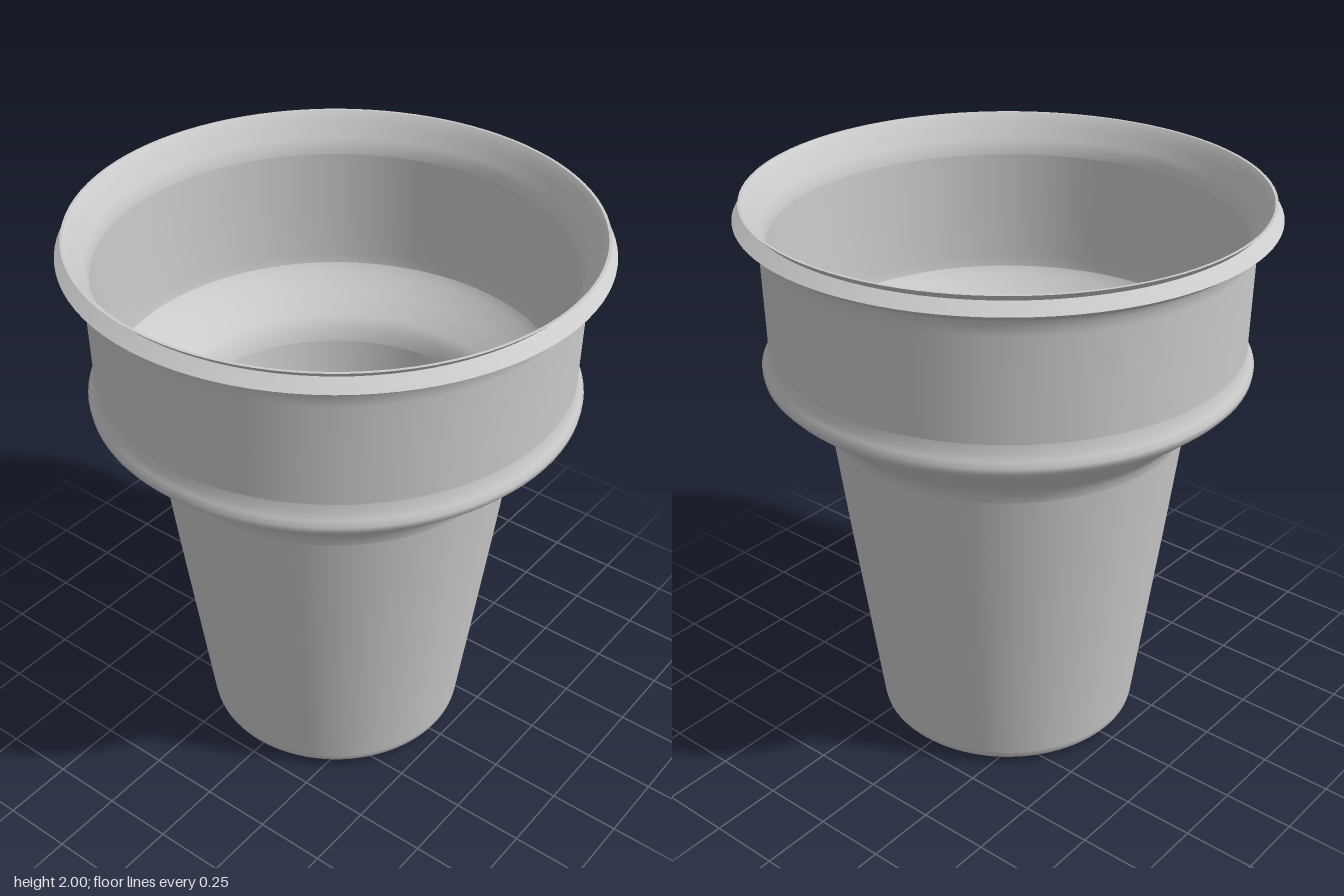
import * as THREE from 'three';

const material = new THREE.MeshStandardMaterial({ color: 0xcccccc, side: THREE.DoubleSide });

// One revolved section; neighbouring sections meet in a sharp edge.
function turned(name, profile) {
  const points = profile.map(([r, y]) => new THREE.Vector2(r, y));
  const mesh = new THREE.Mesh(new THREE.LatheGeometry(points, 96), material);
  mesh.name = name;
  return mesh;
}

export function createModel() {
  const cup = new THREE.Group();
  cup.name = 'cup';

  // Profiles run up the outside, over the rim and down the inside.
  const sections = {
    base: [[0, 0], [0.3, 0.006], [0.43, 0.016], [0.457, 0.024], [0.468, 0.036], [0.472, 0.055]],
    lowerWall: [[0.472, 0.055], [0.52, 0.42], [0.57, 0.8], [0.605, 1.08], [0.618, 1.18]],
    shoulder: [[0.618, 1.18], [0.625, 1.21], [0.642, 1.237], [0.67, 1.262], [0.75, 1.33], [0.815, 1.385]],
    bead: [[0.815, 1.385], [0.833, 1.405], [0.836, 1.425], [0.825, 1.445], [0.815, 1.465], [0.81, 1.495]],
    upperWall: [[0.81, 1.495], [0.813, 1.65], [0.817, 1.85], [0.82, 1.885], [0.832, 1.908]],
    flangeUnderside: [[0.832, 1.908], [0.86, 1.92], [0.895, 1.945]],
    flangeTop: [[0.895, 1.945], [0.85, 1.977]],
    lip: [[0.85, 1.977], [0.872, 2]],
    rimTop: [[0.872, 2], [0.862, 2]],
    rimInside: [[0.862, 2], [0.845, 1.98], [0.83, 1.95], [0.81, 1.915], [0.797, 1.89], [0.792, 1.86]],
    upperInside: [[0.792, 1.86], [0.788, 1.65], [0.785, 1.46], [0.78, 1.42]],
    shoulderInside: [[0.78, 1.42], [0.76, 1.39], [0.7, 1.335], [0.63, 1.275], [0.602, 1.24], [0.588, 1.19]],
    lowerInside: [[0.588, 1.19], [0.54, 0.8], [0.49, 0.4], [0.45, 0.07]],
    floor: [[0.45, 0.07], [0, 0.06]],
  };
  for (const [name, profile] of Object.entries(sections)) cup.add(turned(name, profile));

  return cup;
}
